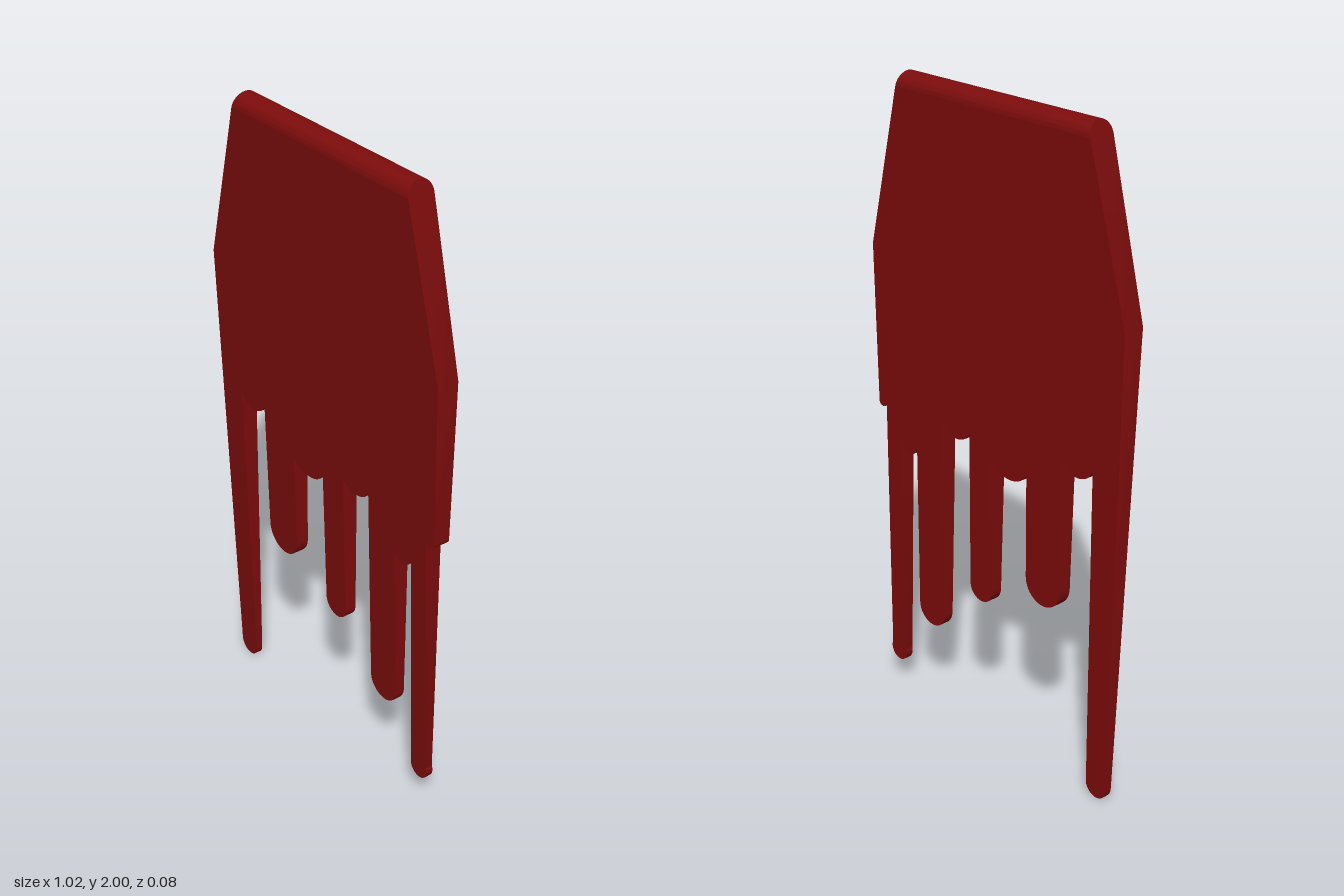
import * as THREE from 'three';
import { toCreasedNormals } from 'three/addons/utils/BufferGeometryUtils.js';

const BACK = -0.042, SHOULDER = 1.958, RADIUS = 0.042;

// slanted upper side edges
const leftEdge = (y) => -0.365 - (2 - y) * 0.283;
const rightEdge = (y) => 0.38 + (2 - y) * 0.245;

// drips from left to right: start x, end x, lowest y, height of the rounded tip
const DRIPS = [
  [-0.49, -0.41, 0, 0.04],
  [-0.41, -0.29, 1.0, 0.05],
  [-0.29, -0.15, 0.545, 0.07],
  [-0.15, -0.005, 0.9, 0.05],
  [-0.005, 0.09, 0.455, 0.047],
  [0.09, 0.21, 0.955, 0.045],
  [0.21, 0.327, 0.28, 0.058],
  [0.327, 0.4, 0.835, 0.035],
  [0.4, 0.466, 0.085, 0.034],
  [0.466, 0.5, 0.955, 0.015],
];

export function createModel() {
  const model = new THREE.Group();
  const red = new THREE.MeshStandardMaterial({ color: 0x7d0c0c });
  red.name = 'dark red';

  function add(name, geometry) {
    const mesh = new THREE.Mesh(toCreasedNormals(geometry, 0.6), red);
    mesh.name = name;
    model.add(mesh);
  }

  // outline of the sheet with its row of drips
  const outline = new THREE.Shape();
  outline.moveTo(leftEdge(SHOULDER), SHOULDER);
  outline.lineTo(-0.515, 1.47);
  for (const [x0, x1, low, tip] of DRIPS) {
    outline.lineTo(x0, low + tip);
    outline.absellipse((x0 + x1) / 2, low + tip, (x1 - x0) / 2, tip, Math.PI, 2 * Math.PI, false, 0);
  }
  outline.lineTo(0.51, 1.47);
  outline.lineTo(rightEdge(SHOULDER), SHOULDER);
  outline.closePath();

  // flat back, front tapering towards the bottom
  const sheet = new THREE.ExtrudeGeometry(outline, { depth: 1, bevelEnabled: false, curveSegments: 14 });
  const p = sheet.attributes.position;
  for (let i = 0; i < p.count; i++) {
    const thickness = 0.021 + 0.063 * p.getY(i) / SHOULDER;
    p.setZ(i, BACK + p.getZ(i) * thickness);
  }
  add('drippingSheet', sheet);

  // rounded top edge, its ends following the slanted sides
  const cap = new THREE.CylinderGeometry(RADIUS, RADIUS, 1, 24, 1, false, 0, Math.PI);
  cap.rotateZ(Math.PI / 2).translate(0, SHOULDER, 0);
  const c = cap.attributes.position;
  for (let i = 0; i < c.count; i++) {
    const y = c.getY(i);
    c.setX(i, c.getX(i) < 0 ? leftEdge(y) : rightEdge(y));
  }
  add('roundedTop', cap);

  // small bead at the tip of the right long drip
  const bead = new THREE.CylinderGeometry(0.036, 0.036, 0.024, 20);
  bead.rotateX(Math.PI / 2).translate(0.434, 0.121, -0.03);
  add('dripBead', bead);

  return model;
}
